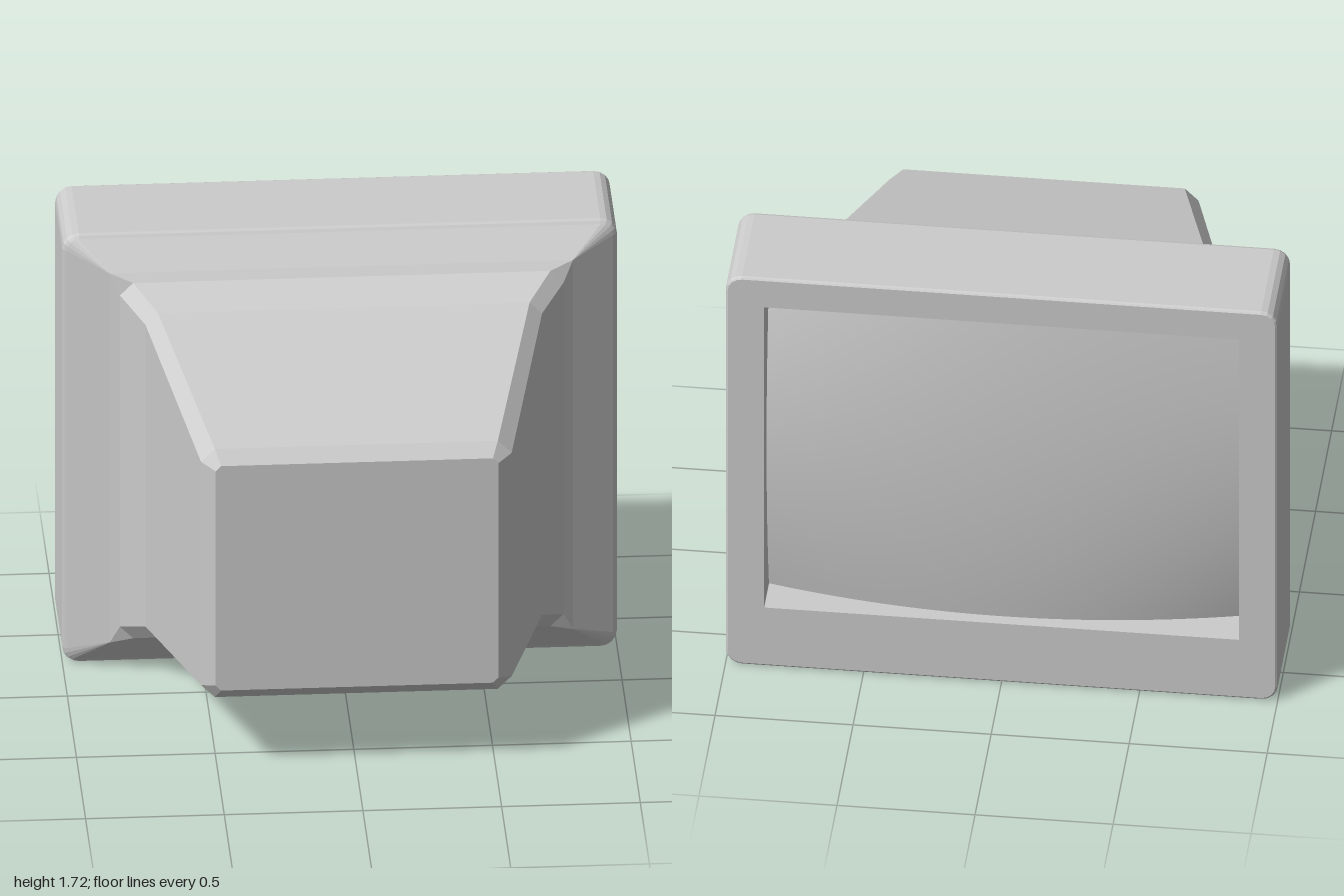
import * as THREE from 'three';

const STEPS = 4; // segments per corner

// Rectangle outline at depth z with cut corners (flat or rounded), counter-clockwise from the front
function section({ z, hx, y0, y1, cut = 0.0005, round = false }) {
  const pts = [];
  const corners = [[1, 1], [-1, 1], [-1, -1], [1, -1]];
  corners.forEach(([sx, sy], k) => {
    const cx = sx * (hx - cut);
    const cy = sy > 0 ? y1 - cut : y0 + cut;
    for (let i = 0; i <= STEPS; i++) {
      const t = i / STEPS;
      const a = (k + t) * Math.PI / 2;
      let c = Math.cos(a), s = Math.sin(a);
      if (!round) {
        const l = Math.abs(c) + Math.abs(s);
        c /= l;
        s /= l;
      }
      pts.push(new THREE.Vector3(cx + cut * c, cy + cut * s, z));
    }
  });
  return pts;
}

// Skin a row of outlines, running from front to back
function loft(sections, capFront) {
  const rings = sections.map(section);
  const pos = [];
  const tri = (...v) => v.forEach((p) => pos.push(p.x, p.y, p.z));
  const n = rings[0].length;
  for (let s = 0; s < rings.length - 1; s++) {
    for (let i = 0; i < n; i++) {
      const j = (i + 1) % n;
      const a = rings[s][i], b = rings[s][j], c = rings[s + 1][j], d = rings[s + 1][i];
      tri(a, d, c);
      tri(a, c, b);
    }
  }
  if (capFront) for (let i = 1; i < n - 1; i++) tri(rings[0][0], rings[0][i], rings[0][i + 1]);
  const g = new THREE.BufferGeometry();
  g.setAttribute('position', new THREE.Float32BufferAttribute(pos, 3));
  g.computeVertexNormals();
  return g;
}

export function createModel() {
  const group = new THREE.Group();
  group.name = 'monitor';
  const flat = new THREE.MeshStandardMaterial({ color: 0xcccccc, flatShading: true });
  const smooth = new THREE.MeshStandardMaterial({ color: 0xcccccc });
  const add = (name, geometry, material) => {
    const mesh = new THREE.Mesh(geometry, material);
    mesh.name = name;
    group.add(mesh);
  };

  // Tapered tube housing flaring out to the frame
  const rim = { z: -0.265, hx: 0.985, y0: 0.017, y1: 1.7, cut: 0.045, round: true };
  add('tubeHousing', loft([
    { z: 0.68, hx: 0.51, y0: 0.34, y1: 1.24, cut: 0.02 },
    { z: 0.64, hx: 0.56, y0: 0.295, y1: 1.29, cut: 0.05 },
    { z: -0.05, hx: 0.715, y0: 0.2, y1: 1.5, cut: 0.045 },
    { z: -0.16, hx: 0.8, y0: 0.145, y1: 1.57, cut: 0.048 },
    { z: -0.182, hx: 0.835, y0: 0.12, y1: 1.6 },
    rim,
  ], true), flat);

  // Rounded frame with the recessed screen opening
  const outer = { hx: 1, y0: 0, y1: 1.715, cut: 0.06, round: true };
  const opening = { hx: 0.86, y0: 0.26, y1: 1.59 };
  add('screenFrame', loft([
    rim,
    { ...outer, z: -0.272, hx: 0.995, y0: 0.005, y1: 1.71, cut: 0.055 },
    { ...outer, z: -0.285 },
    { ...outer, z: -0.667 },
    { ...outer, z: -0.674, hx: 0.997, y0: 0.003, y1: 1.712, cut: 0.057 },
    { ...outer, z: -0.678, hx: 0.991, y0: 0.009, y1: 1.706, cut: 0.051 },
    { ...opening, z: -0.678 },
    { ...opening, z: -0.51 },
  ], false), flat);

  // Bulging glass, deepest at its corners
  const w = 2 * opening.hx, h = opening.y1 - opening.y0;
  const glass = new THREE.PlaneGeometry(w, h, 28, 24).rotateY(Math.PI);
  const p = glass.attributes.position;
  for (let i = 0; i < p.count; i++) {
    const u = (p.getX(i) / (w / 2)) ** 2;
    const v = (p.getY(i) / (h / 2)) ** 2;
    p.setZ(i, 0.075 * u + 0.045 * v + 0.03 * u * v);
  }
  glass.translate(0, (opening.y0 + opening.y1) / 2, -0.677);
  glass.computeVertexNormals();
  add('screen', glass, smooth);

  return group;
}
